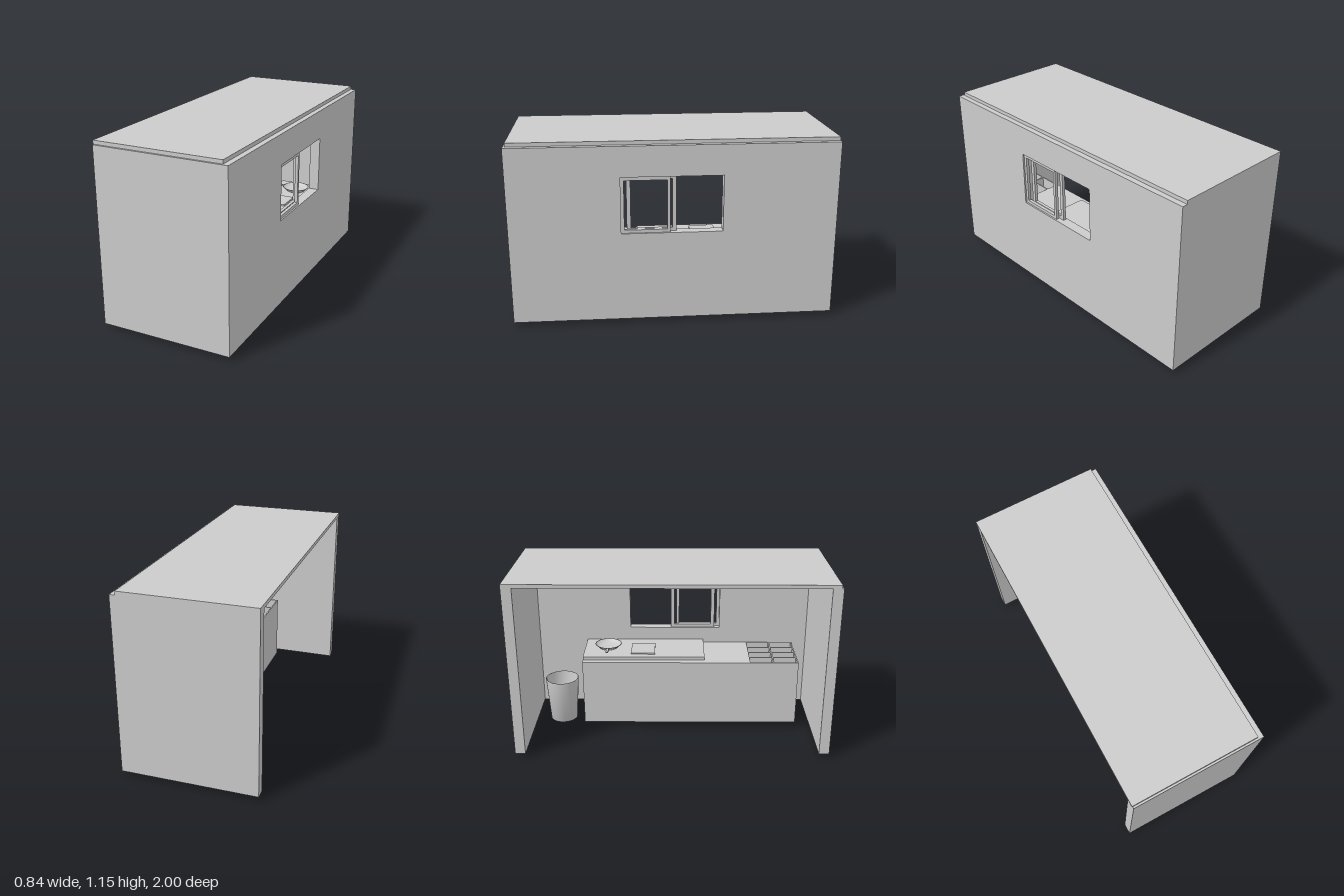
import * as THREE from 'three';

const grey = new THREE.MeshStandardMaterial({ color: 0xcccccc, side: THREE.DoubleSide });

function add(parent, name, geometry) {
  const mesh = new THREE.Mesh(geometry, grey);
  mesh.name = name;
  parent.add(mesh);
  return mesh;
}

// Box given by its lower and upper corners
function block(parent, name, [x0, y0, z0], [x1, y1, z1]) {
  const mesh = add(parent, name, new THREE.BoxGeometry(x1 - x0, y1 - y0, z1 - z0));
  mesh.position.set((x0 + x1) / 2, (y0 + y1) / 2, (z0 + z1) / 2);
  return mesh;
}

function part(parent, name) {
  const group = new THREE.Group();
  group.name = name;
  parent.add(group);
  return group;
}

function rectangle(target, x0, y0, x1, y1) {
  return target.moveTo(x0, y0).lineTo(x1, y0).lineTo(x1, y1).lineTo(x0, y1).closePath();
}

// Upright panel lying along z, with a rectangular opening
function panel(parent, name, x, depth, z0, z1, y0, y1, hole) {
  const shape = rectangle(new THREE.Shape(), -z1, y0, -z0, y1);
  const [hz0, hz1, hy0, hy1] = hole;
  shape.holes.push(rectangle(new THREE.Path(), -hz1, hy0, -hz0, hy1));
  const geometry = new THREE.ExtrudeGeometry(shape, { depth, bevelEnabled: false });
  geometry.rotateY(Math.PI / 2);
  add(parent, name, geometry).position.x = x;
}

export function createModel() {
  const model = new THREE.Group();
  model.name = 'kitchenStall';

  // Shell: two end walls, window wall and roof; the -x side is open
  const base = 0.025, top = 1.132, inner = 0.355;
  block(model, 'frontWall', [-0.415, base, 0.935], [inner, top, 1]);
  block(model, 'backWall', [-0.42, base, -1], [inner, top, -0.935]);
  panel(model, 'windowWall', inner, 0.065, -1, 1, base, top, [-0.295, 0.325, 0.59, 0.943]);
  block(model, 'roof', [-0.42, top, -1], [0.385, 1.155, 0.988]);

  // Two sliding sashes pushed to one side
  const sashes = part(model, 'slidingWindow');
  panel(sashes, 'outerSash', 0.39, 0.02, 0.026, 0.325, 0.59, 0.943, [0.045, 0.305, 0.61, 0.92]);
  panel(sashes, 'innerSash', 0.365, 0.02, -0.012, 0.29, 0.59, 0.943, [0.012, 0.265, 0.61, 0.92]);

  // Counter along the window wall
  const counter = part(model, 'counter');
  const cx0 = -0.01, cx1 = 0.35, cTop = 0.48, tz0 = 0.51, tz1 = 0.838;
  block(counter, 'counterBody', [cx0, 0.035, -0.6], [cx1, cTop, tz0]);
  block(counter, 'trayBase', [cx0, 0.035, tz0], [cx1, 0.4, tz1]);

  // Ingredient tray: 4 x 2 open cells
  const t = 0.008;
  for (let i = 0; i <= 4; i++) {
    const x = cx0 + (cx1 - cx0 - t) * i / 4;
    block(counter, 'trayCrossDivider', [x, 0.4, tz0], [x + t, cTop, tz1]);
  }
  for (let i = 0; i <= 2; i++) {
    const z = tz0 + (tz1 - tz0 - t) * i / 2;
    block(counter, 'trayLongDivider', [cx0, 0.4, z], [cx1, cTop, z + t]);
  }

  // Cooktop slab with a pan
  block(model, 'cooktop', [0.033, cTop, -0.6], [cx1, 0.502, 0.214]);
  const pan = part(model, 'pan');
  pan.position.set(0.2, 0.502, -0.44);
  const profile = [[0, 0], [0.06, 0], [0.085, 0.03], [0.09, 0.03], [0.082, 0.022], [0.058, 0.006], [0, 0.006]];
  add(pan, 'panBowl', new THREE.LatheGeometry(profile.map(([r, y]) => new THREE.Vector2(r, y)), 32));
  block(pan, 'panHandle', [-0.15, 0.022, -0.008], [-0.083, 0.03, 0.008]);

  // Chopping board
  block(model, 'choppingBoard', [0.08, 0.502, -0.28], [0.25, 0.512, -0.12]);

  // Tapered waste bin beside the counter
  const bin = part(model, 'wasteBin');
  bin.position.set(0.14, 0, -0.763);
  const wall = [[0, 0], [0.091, 0], [0.112, 0.3], [0.106, 0.3], [0.086, 0.008], [0, 0.008]];
  const binGeometry = new THREE.LatheGeometry(wall.map(([r, y]) => new THREE.Vector2(r, y)), 32);
  add(bin, 'binBody', binGeometry);

  return model;
}
